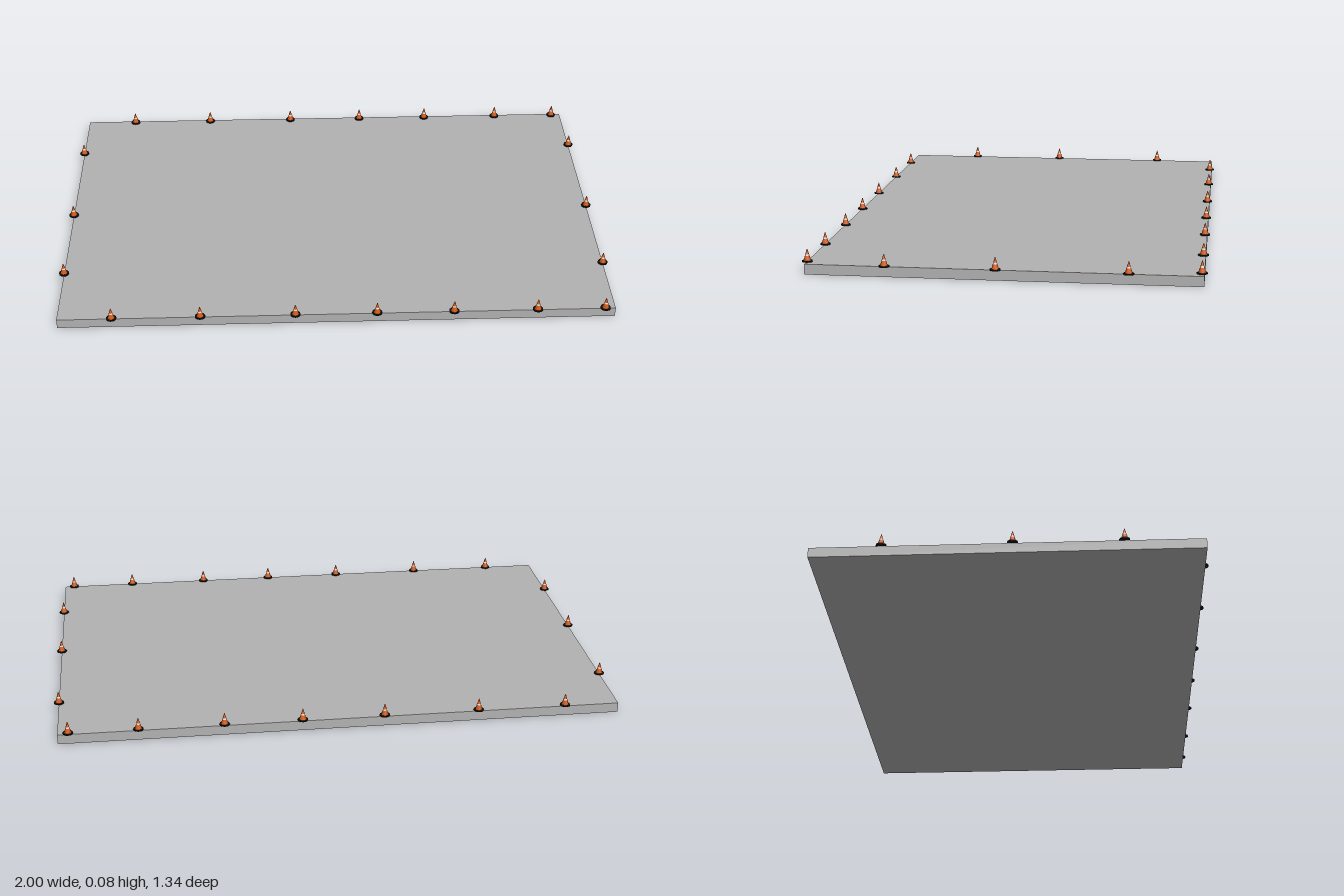
import * as THREE from 'three';

const TOP = 0.035; // height of the slab's upper face

export function createModel() {
  const model = new THREE.Group();
  model.name = 'conedPlatform';
  const grey = new THREE.MeshStandardMaterial({ name: 'concreteGrey', color: 0xb2b2b2 });
  const orange = new THREE.MeshStandardMaterial({ name: 'coneOrange', color: 0xd25a14 });
  const white = new THREE.MeshStandardMaterial({ name: 'stripeWhite', color: 0xe0e0e0 });
  const black = new THREE.MeshStandardMaterial({ name: 'baseBlack', color: 0x111111 });

  // Flat slab
  const slab = new THREE.Mesh(new THREE.BoxGeometry(1.962, TOP, 1.31), grey);
  slab.name = 'slab';
  slab.position.set(0, TOP / 2, -0.003);
  model.add(slab);

  // Cone sections stacked upwards: name, bottom and top radius, bottom and top height
  const sections = [
    ['coneBase', 0.018, 0.018, 0, 0.004, black],
    ['coneLower', 0.0125, 0.0075, 0.004, 0.021, orange],
    ['coneStripe', 0.0075, 0.006, 0.021, 0.026, white],
    ['coneTip', 0.006, 0.001, 0.026, 0.043, orange],
  ].map(([name, r0, r1, y0, y1, material]) => {
    const geometry = new THREE.CylinderGeometry(r1, r0, y1 - y0, 12);
    geometry.translate(0, (y0 + y1) / 2, 0);
    return { name, geometry, material };
  });

  function addCone(x, z) {
    const cone = new THREE.Group();
    cone.name = 'trafficCone';
    for (const { name, geometry, material } of sections) {
      const mesh = new THREE.Mesh(geometry, material);
      mesh.name = name;
      cone.add(mesh);
    }
    cone.position.set(x, TOP, z);
    model.add(cone);
  }

  // Cones along the front and back edges, then the two sides
  for (const side of [-1, 1]) {
    for (const x of [-0.79, -0.48, -0.147, 0.14, 0.411, 0.706, 0.945]) addCone(x, side * 0.65);
    for (const z of [-0.416, 0.017, 0.384]) addCone(side * 0.981, z);
  }
  return model;
}
